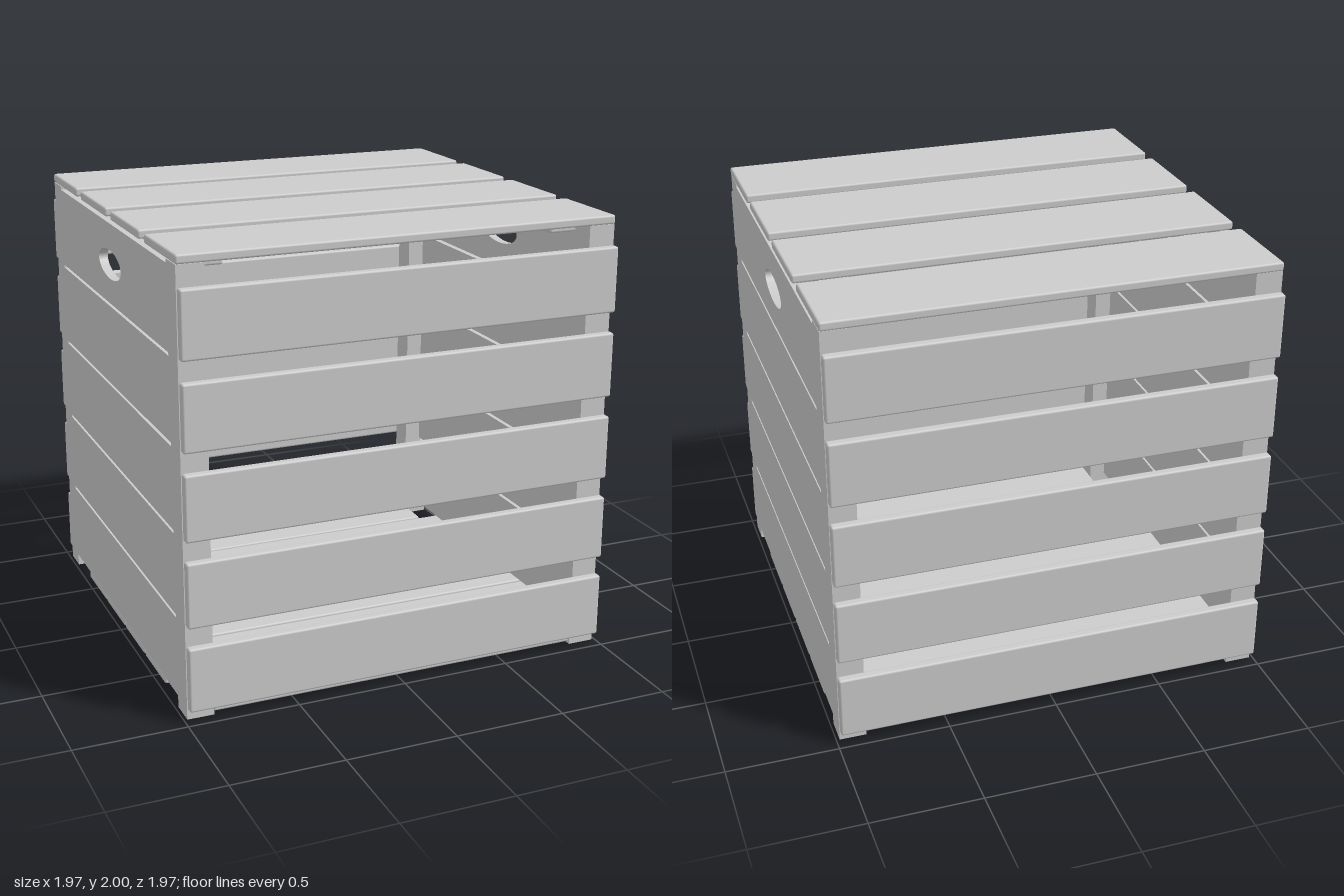
import * as THREE from 'three';
import { RoundedBoxGeometry } from 'three/addons/geometries/RoundedBoxGeometry.js';

const material = new THREE.MeshStandardMaterial({ color: 0xcccccc });

// Board with softly rounded edges, given by its min/max on each axis
function board(name, [x0, x1], [y0, y1], [z0, z1], radius = 0.01) {
  const size = [x1 - x0, y1 - y0, z1 - z0];
  const geometry = radius ? new RoundedBoxGeometry(...size, 2, radius) : new THREE.BoxGeometry(...size);
  const mesh = new THREE.Mesh(geometry, material);
  mesh.name = name;
  mesh.position.set((x0 + x1) / 2, (y0 + y1) / 2, (z0 + z1) / 2);
  return mesh;
}

// Side wall: five boards joined at the corners, narrow slots between, oval hand hole
function sideWallGeometry() {
  const w = 0.94, inner = 0.82;
  const shape = new THREE.Shape([
    [-w, 0], [-inner, 0], [-inner, 0.055], [inner, 0.055], [inner, 0], [w, 0],
    [w, 1.96], [inner, 1.96], [inner, 1.943], [-inner, 1.943], [-inner, 1.96], [-w, 1.96],
  ].map(([x, y]) => new THREE.Vector2(x, y)));
  for (let i = 0; i < 4; i++) {
    const y = 0.42 + i * 0.381, top = y + 0.014;
    shape.holes.push(new THREE.Path([
      new THREE.Vector2(-inner, y), new THREE.Vector2(-inner, top),
      new THREE.Vector2(inner, top), new THREE.Vector2(inner, y),
    ]));
  }
  const hole = new THREE.Path();
  hole.absellipse(0, 1.757, 0.172, 0.065, 0, Math.PI * 2, true);
  shape.holes.push(hole);
  const geometry = new THREE.ExtrudeGeometry(shape, { depth: 0.04, bevelEnabled: false, curveSegments: 32 });
  return geometry.translate(0, 0, -0.02).rotateY(Math.PI / 2);
}

export function createModel() {
  const crate = new THREE.Group();
  crate.name = 'slattedCrate';

  // Side walls and corner posts
  const wallGeometry = sideWallGeometry();
  for (const s of [-1, 1]) {
    const side = s > 0 ? 'left' : 'right';
    const wall = new THREE.Mesh(wallGeometry, material);
    wall.name = `${side}Wall`;
    wall.position.x = s * 0.965;
    crate.add(wall);
    const postX = s > 0 ? [0.865, 0.945] : [-0.945, -0.865];
    crate.add(board(`${side}FrontPost`, postX, [0, 1.96], [0.82, 0.94], 0));
    crate.add(board(`${side}BackPost`, postX, [0, 1.96], [-0.94, -0.82], 0));
  }

  // Front and back slats
  for (let i = 0; i < 5; i++) {
    const y = 0.051 + i * 0.382;
    crate.add(board('frontSlat', [-0.985, 0.985], [y, y + 0.291], [0.944, 0.986]));
    crate.add(board('backSlat', [-0.985, 0.985], [y, y + 0.291], [-0.986, -0.944]));
  }

  // Floor boards; the outer two fit between the posts
  for (let i = 0; i < 6; i++) {
    const z = -0.785 + i * 0.314;
    const x = i === 0 || i === 5 ? 0.865 : 0.98;
    crate.add(board('floorBoard', [-x, x], [0.01, 0.047], [z - 0.149, z + 0.149]));
  }

  // Lid: four boards held by two battens
  const lid = new THREE.Group();
  lid.name = 'lid';
  for (let i = 0; i < 4; i++) {
    const z = -0.74 + i * 0.4933;
    lid.add(board('lidBoard', [-0.987, 0.987], [1.96, 2], [z - 0.206, z + 0.206]));
  }
  lid.add(board('leftLidBatten', [0.745, 0.88], [1.912, 1.96], [-0.815, 0.815]));
  lid.add(board('rightLidBatten', [-0.88, -0.745], [1.912, 1.96], [-0.815, 0.815]));
  crate.add(lid);

  return crate;
}
